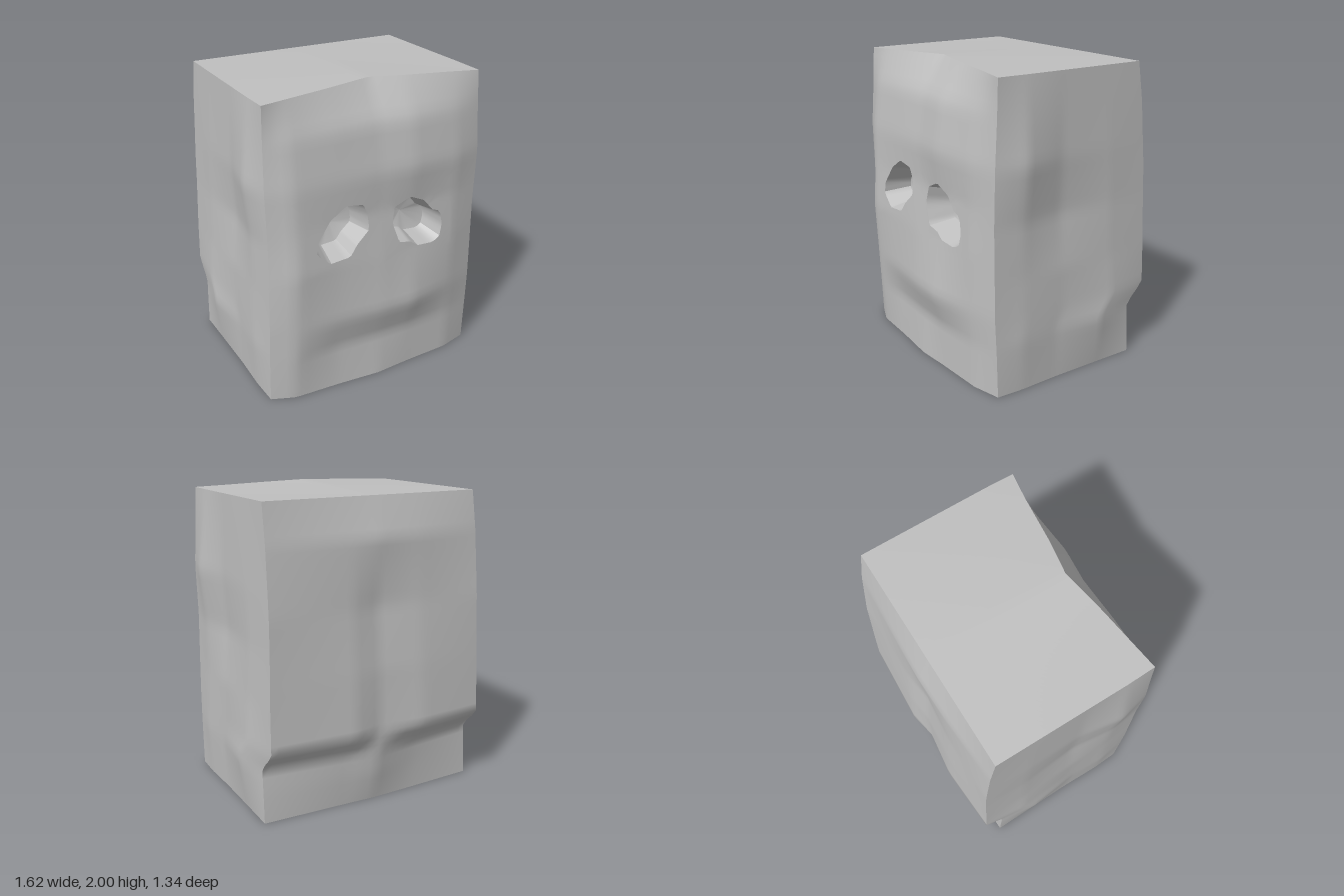
import * as THREE from 'three';
import { mergeVertices, mergeGeometries, toCreasedNormals } from 'three/addons/utils/BufferGeometryUtils.js';

const TOP = 1.97, NX = 32, NY = 40;

// Crumple tables: for each height, the offset at each column
const FRONT = {
  cols: [-1, -0.8, -0.4, 0, 0.3, 0.75, 1],
  rows: [0, 0.3, 0.52, 0.9, 1.2, 1.45, 1.75, TOP],
  val: [
    [.53, .59, .60, .62, .60, .58, .53],
    [.54, .61, .59, .60, .60, .58, .54],
    [.55, .62, .64, .665, .67, .60, .55],
    [.55, .64, .63, .635, .62, .60, .55],
    [.55, .62, .61, .60, .60, .59, .55],
    [.55, .61, .61, .61, .63, .60, .55],
    [.53, .57, .57, .56, .585, .56, .53],
    [.52, .50, .46, .41, .45, .49, .52]]
};
const BACK = {
  cols: [-1, -0.4, 0, 0.25, 1],
  rows: [0, 0.2, 0.36, 0.48, 0.9, 1.3, 1.72, TOP],
  val: [
    [-.53, -.55, -.56, -.55, -.53],
    [-.52, -.56, -.60, -.57, -.52],
    [-.51, -.57, -.62, -.58, -.51],
    [-.64, -.67, -.63, -.67, -.64],
    [-.625, -.645, -.62, -.645, -.625],
    [-.61, -.61, -.58, -.61, -.61],
    [-.57, -.60, -.61, -.60, -.57],
    [-.53, -.53, -.53, -.53, -.53]]
};
const SIDE = {
  cols: [-1, -0.5, 0.15, 0.65, 1],
  rows: [0, 0.33, 0.75, 1.1, 1.45, TOP],
  val: [
    [.77, .765, .76, .765, .755],
    [.77, .81, .77, .78, .755],
    [.765, .775, .765, .765, .75],
    [.755, .76, .73, .765, .745],
    [.75, .76, .755, .805, .755],
    [.745, .745, .745, .745, .74]]
};

const lerp = THREE.MathUtils.lerp;
function locate(list, x) {
  let i = 0;
  while (i < list.length - 2 && x > list[i + 1]) i++;
  return [i, THREE.MathUtils.clamp((x - list[i]) / (list[i + 1] - list[i]), 0, 1)];
}
function sample(table, c, y) {
  const [i, a] = locate(table.cols, c), [j, b] = locate(table.rows, y), v = table.val;
  return lerp(lerp(v[j][i], v[j][i + 1], a), lerp(v[j + 1][i], v[j + 1][i + 1], a), b);
}

// Point of the bag at s (right to left), t (back to front) and height y
function bagPoint(s, y, t) {
  const rise = 0.03 * (y / TOP) ** 4 * (1 - Math.abs(s)) * (t + 1) / 2;
  const z = lerp(sample(BACK, s, y), sample(FRONT, s, y), (t + 1) / 2);
  return [s * sample(SIDE, t, y), y + rise, z];
}

// Grid surface facing the viewer when u runs right and v runs up
function grid(fn, nu, nv, skip = () => false) {
  const pos = [], index = [];
  for (let j = 0; j <= nv; j++)
    for (let i = 0; i <= nu; i++) pos.push(...fn(i / nu, j / nv));
  for (let j = 0; j < nv; j++)
    for (let i = 0; i < nu; i++) {
      if (skip(i, j)) continue;
      const a = j * (nu + 1) + i, d = a + nu + 1;
      index.push(a, a + 1, d + 1, a, d + 1, d);
    }
  const g = new THREE.BufferGeometry();
  g.setAttribute('position', new THREE.Float32BufferAttribute(pos, 3));
  g.setIndex(index);
  return g;
}
function smooth(g) {
  const m = mergeVertices(g, 1e-4);
  m.computeVertexNormals();
  return m;
}

// Eye hole outlines (x, y) and the block of front cells each replaces
const EYES = [
  { name: 'rightEyeHole', i0: 4, i1: 16, j0: 17, j1: 28, centre: [-0.27, 1.11],
    outline: [[-.45, 1.10], [-.36, 1.22], [-.25, 1.29], [-.13, 1.27], [-.10, 1.2], [-.09, 1.1],
      [-.18, 1.02], [-.23, .95], [-.37, .94], [-.46, 1.02]] },
  { name: 'leftEyeHole', i0: 16, i1: 28, j0: 17, j1: 28, centre: [0.26, 1.07],
    outline: [[.08, 1.1], [.10, 1.2], [.21, 1.25], [.32, 1.2], [.39, 1.12], [.45, 1.1], [.47, 1.0],
      [.45, .92], [.40, .89], [.27, .90], [.22, .94], [.13, .96]] }
];

// Where the ray from c towards p meets the outline
function hitOutline(c, p, outline) {
  const dx = p[0] - c[0], dy = p[1] - c[1];
  let best = 0;
  outline.forEach((a, k) => {
    const b = outline[(k + 1) % outline.length];
    const ex = b[0] - a[0], ey = b[1] - a[1], den = dx * ey - dy * ex;
    if (Math.abs(den) < 1e-9) return;
    const ax = a[0] - c[0], ay = a[1] - c[1];
    const r = (ax * ey - ay * ex) / den, q = (ax * dy - ay * dx) / den;
    if (r > 0 && q >= -1e-6 && q <= 1 + 1e-6) best = Math.max(best, r);
  });
  return [c[0] + dx * best, c[1] + dy * best];
}

function eyeParts(eye) {
  // Counter-clockwise walk round the cell block
  const walk = [], { i0, i1, j0, j1, centre } = eye;
  for (let i = i0; i < i1; i++) walk.push([i, j0]);
  for (let j = j0; j < j1; j++) walk.push([i1, j]);
  for (let i = i1; i > i0; i--) walk.push([i, j1]);
  for (let j = j1; j >= j0; j--) walk.push([i0, j]);
  const W = 0.748;
  const outer = walk.map(([i, j]) => [(2 * i / NX - 1) * W, j / NY * TOP]);
  const inner = outer.map(p => hitOutline(centre, p, eye.outline));
  const n = walk.length - 1;
  const skin = grid((u, v) => {
    const k = Math.round(u * n);
    return bagPoint(lerp(outer[k][0], inner[k][0], v) / W, lerp(outer[k][1], inner[k][1], v), 1);
  }, n, 4);
  // Tapered socket: rim, wall, floor, middle
  const scale = [1, 0.76, 0], depth = [0, 0.16, 0.2];
  const socket = grid((u, v) => {
    const k = Math.round(u * n), r = Math.round(v * 2);
    const rim = bagPoint(inner[k][0] / W, inner[k][1], 1);
    const z = r === 0 ? rim[2] : 0.61 - depth[r];
    return [lerp(centre[0], rim[0], scale[r]), lerp(centre[1], rim[1], scale[r]), z];
  }, n, 2);
  return { skin, socket };
}

export function createModel() {
  const group = new THREE.Group();
  const paper = new THREE.MeshStandardMaterial({ color: 0xbfbfbf });
  paper.name = 'grey paper';
  const add = (name, geometry) => {
    const mesh = new THREE.Mesh(geometry, paper);
    mesh.name = name;
    group.add(mesh);
  };

  // Front panel with its two eye holes
  const inEye = (i, j) => EYES.some(e => i >= e.i0 && i < e.i1 && j >= e.j0 && j < e.j1);
  const pieces = [grid((u, v) => bagPoint(2 * u - 1, v * TOP, 1), NX, NY, inEye)];
  for (const eye of EYES) {
    const { skin, socket } = eyeParts(eye);
    pieces.push(skin);
    add(eye.name, toCreasedNormals(socket, 0.5));
  }
  add('frontPanel', smooth(mergeGeometries(pieces)));

  // Remaining panels
  add('backPanel', smooth(grid((u, v) => bagPoint(1 - 2 * u, v * TOP, -1), NX, NY)));
  add('leftPanel', smooth(grid((u, v) => bagPoint(1, v * TOP, 1 - 2 * u), NX, NY)));
  add('rightPanel', smooth(grid((u, v) => bagPoint(-1, v * TOP, 2 * u - 1), NX, NY)));
  add('topPanel', smooth(grid((u, v) => bagPoint(2 * u - 1, TOP, 1 - 2 * v), NX, NX)));
  add('bottomPanel', smooth(grid((u, v) => bagPoint(2 * u - 1, 0, 2 * v - 1), NX, NX)));
  return group;
}
